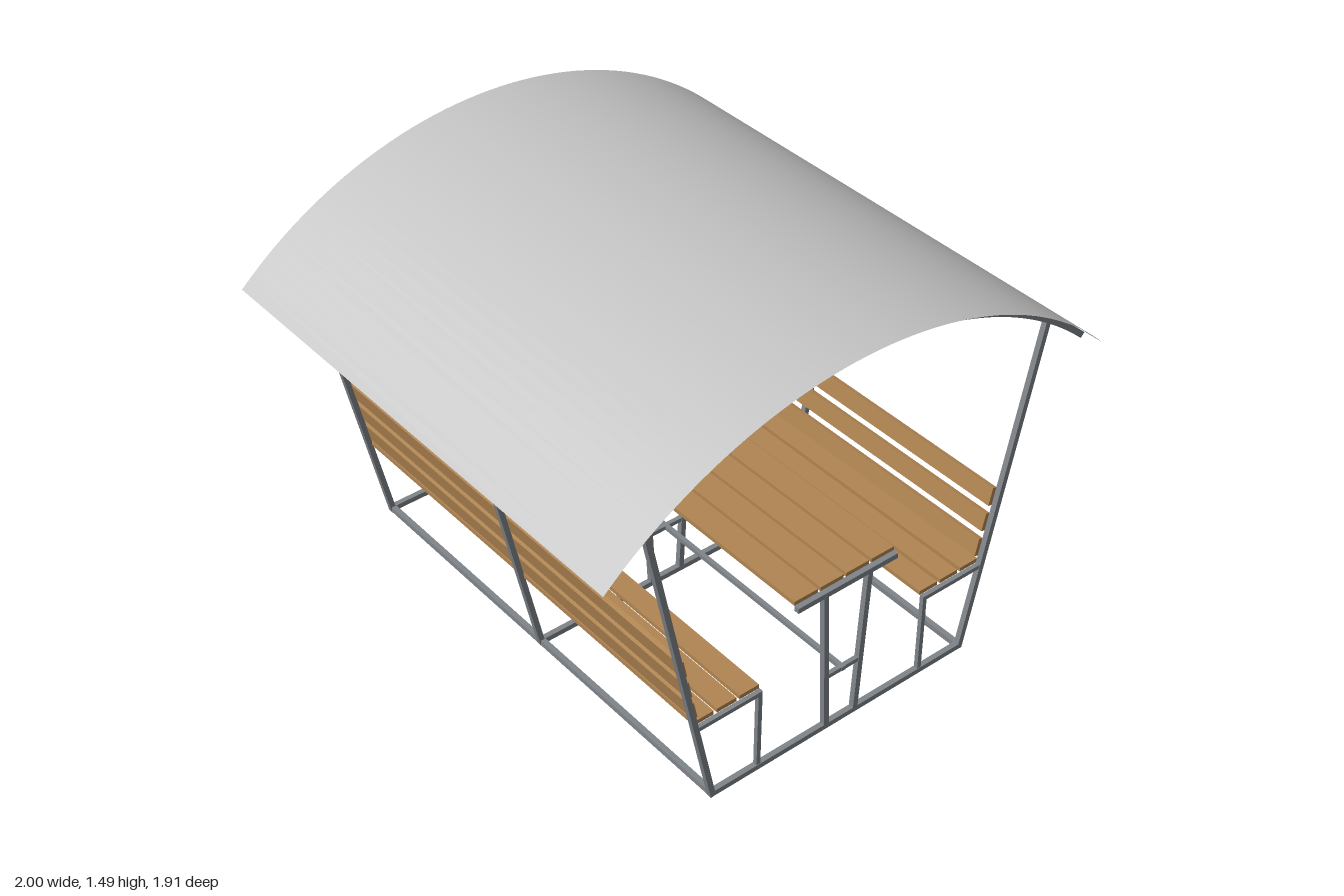
import * as THREE from 'three';

const CX = -0.0225;                    // centre line of the frame
const FRAMES = [0.91, 0.018, -0.88];   // z of the three steel frames
const MID_Z = 0.015;
const TUBE = 0.02;
const R = 1.45, ARC_Y = 0.035;         // roof arc

export function createModel() {
  const model = new THREE.Group();
  const steel = new THREE.MeshStandardMaterial({ color: 0x80858a });
  steel.name = 'grey steel';
  const wood = new THREE.MeshStandardMaterial({ color: 0xb08552 });
  wood.name = 'brown wood';
  const sheet = new THREE.MeshStandardMaterial({ color: 0xc4c4c4, side: THREE.DoubleSide });
  sheet.name = 'light grey roof sheet';

  const add = (name, geometry, material, x = 0, y = 0, z = 0) => {
    const mesh = new THREE.Mesh(geometry, material);
    mesh.name = name;
    mesh.position.set(x, y, z);
    model.add(mesh);
    return mesh;
  };
  const box = (name, w, h, d, x, y, z, material) =>
    add(name, new THREE.BoxGeometry(w, h, d), material, x, y, z);

  // square tube in a frame plane, x measured from the centre line
  const bar = (name, x1, y1, x2, y2, z, t = TUBE) => {
    const length = Math.hypot(x2 - x1, y2 - y1);
    const mesh = box(name, t, length, t, CX + (x1 + x2) / 2, (y1 + y2) / 2, z, steel);
    mesh.rotation.z = -Math.atan2(x2 - x1, y2 - y1);
  };
  const postX = y => 0.536 + 0.265 * y / 1.235;
  const angleAt = x => Math.asin((x - CX) / R);

  // roof arch profile
  const archShape = new THREE.Shape();
  const a1 = Math.PI / 2 - angleAt(0.955), a2 = Math.PI / 2 - angleAt(-0.95);
  archShape.absarc(0, 0, R - 0.004, a1, a2, false);
  archShape.absarc(0, 0, R - 0.026, a2, a1, true);
  const archGeometry = new THREE.ExtrudeGeometry(archShape, {
    depth: TUBE, bevelEnabled: false, curveSegments: 32,
  });

  // steel frames
  for (const z of FRAMES) {
    add('roofArch', archGeometry, steel, CX, ARC_Y, z - TUBE / 2);
    bar('baseCrossBeam', -0.54, 0.01, 0.54, 0.01, z);
    bar('tableCrossbar', -0.2075, 0.588, 0.2075, 0.588, z);
    bar('tableRung', -0.07, 0.227, 0.07, 0.227, z, 0.016);
    for (const s of [-1, 1]) {
      bar('post', s * postX(0), 0, s * postX(1.235), 1.235, z);
      bar('benchLeg', s * 0.35, 0.01, s * 0.35, 0.335, z, 0.016);
      bar('seatSupport', s * 0.343, 0.326, s * postX(0.326), 0.326, z, 0.016);
      bar('tableLeg', s * 0.062, 0.01, s * 0.0925, 0.585, z);
    }
  }

  // lengthwise rails
  for (const s of [-1, 1]) {
    box('baseSideRail', TUBE, TUBE, 1.81, CX + s * 0.536, 0.01, MID_Z, steel);
  }
  box('tableStretcher', 0.016, 0.016, 1.81, CX, 0.227, MID_Z, steel);

  // roof purlins follow the arc
  for (const x of [-0.93, -0.54, CX, 0.49, 0.93]) {
    const a = angleAt(x), r = R - 0.015;
    const purlin = box('purlin', TUBE, TUBE, 1.81,
      CX + r * Math.sin(a), ARC_Y + r * Math.cos(a), MID_Z, steel);
    purlin.rotation.z = -a;
  }

  // table boards
  for (let i = 0; i < 4; i++) {
    box('tableBoard', 0.096, 0.016, 1.82, CX + (i - 1.5) * 0.1063, 0.605, -0.01, wood);
  }

  // bench seats and backrests
  for (const s of [-1, 1]) {
    for (let i = 0; i < 3; i++) {
      box('seatBoard', 0.078, 0.016, 1.82, CX + s * (0.381 + i * 0.091), 0.341, -0.01, wood);
      const y = 0.395 + i * 0.0965;
      const board = box('backrestBoard', 0.016, 0.068, 1.82,
        CX + s * (postX(y) - 0.0175), y, -0.01, wood);
      board.rotation.z = -s * Math.atan2(0.265, 1.235);
    }
  }

  // curved roof sheet
  const roof = new THREE.PlaneGeometry(2, 1.914, 48, 1);
  roof.rotateX(-Math.PI / 2);
  const p = roof.attributes.position;
  const from = angleAt(-1), to = angleAt(1);
  for (let i = 0; i < p.count; i++) {
    const a = from + (to - from) * (p.getX(i) + 1) / 2;
    p.setXYZ(i, CX + R * Math.sin(a), ARC_Y + R * Math.cos(a), p.getZ(i));
  }
  roof.computeVertexNormals();
  add('roofSheet', roof, sheet);

  return model;
}
